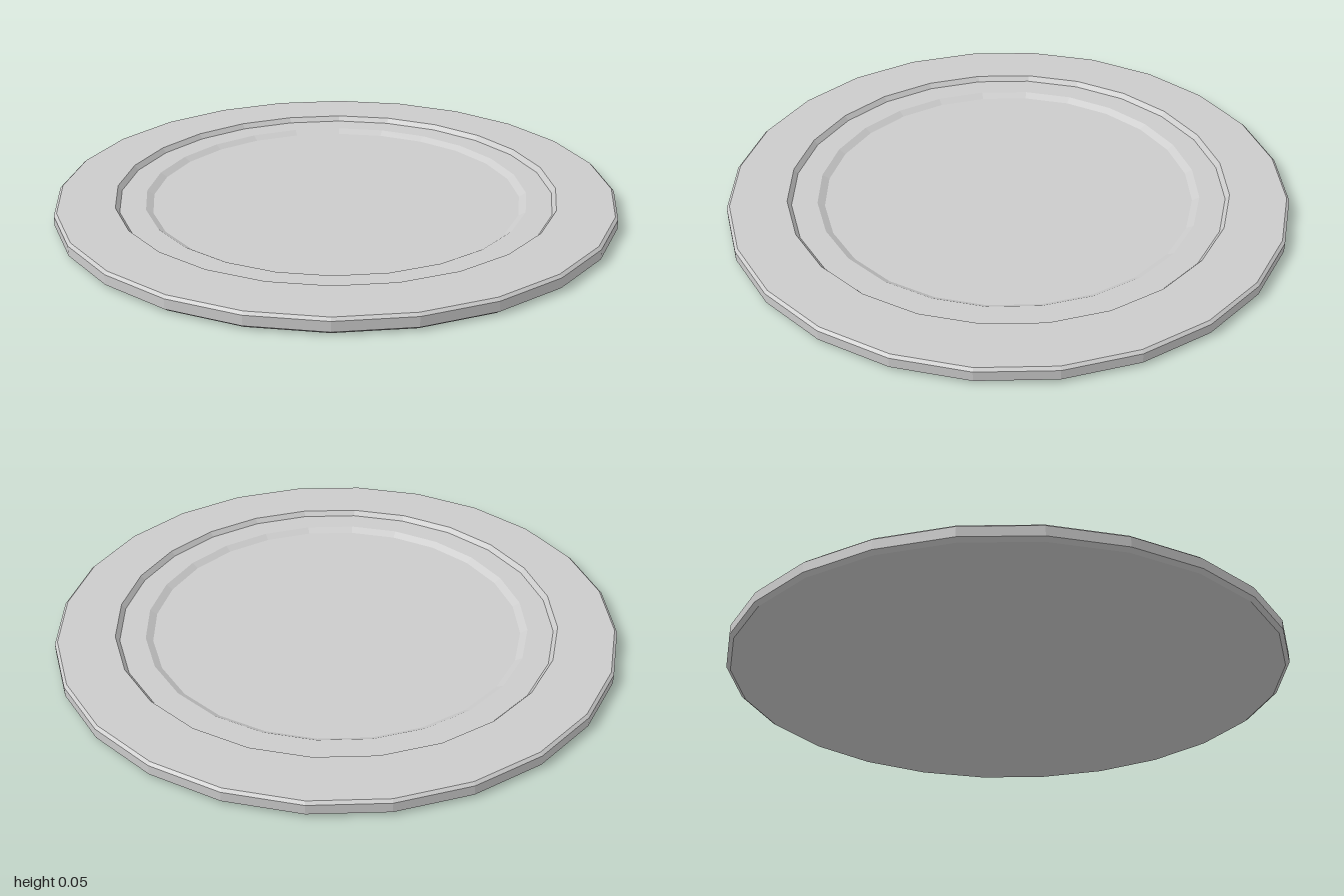
import * as THREE from 'three';

const SIDES = 24;
const TURN = THREE.MathUtils.degToRad(12); // where the first corner of the rim sits

export function createModel() {
  const group = new THREE.Group();
  group.name = 'plate';
  const material = new THREE.MeshStandardMaterial({ color: 0xcccccc, flatShading: true });

  // Each part is a ring or disc turned around the y axis, listed as [radius, height]
  const turned = (name, profile) => {
    const points = profile.map(([r, y]) => new THREE.Vector2(r, y));
    const mesh = new THREE.Mesh(new THREE.LatheGeometry(points, SIDES, TURN), material);
    mesh.name = name;
    group.add(mesh);
  };

  // Flat underside and the bevelled outer edge
  turned('underside', [[0, 0], [0.985, 0]]);
  turned('outerEdge', [[0.985, 0], [1, 0.011], [1, 0.046], [0.99, 0.055]]);
  // Broad flat rim
  turned('rim', [[0.99, 0.055], [0.79, 0.055]]);
  // Steep step down to a narrow ledge
  turned('innerStep', [[0.79, 0.055], [0.776, 0.037]]);
  turned('ledge', [[0.776, 0.037], [0.685, 0.037]]);
  // Gentle slope into the flat well
  turned('wellSlope', [[0.685, 0.037], [0.66, 0.022]]);
  turned('well', [[0.66, 0.022], [0, 0.022]]);

  return group;
}
